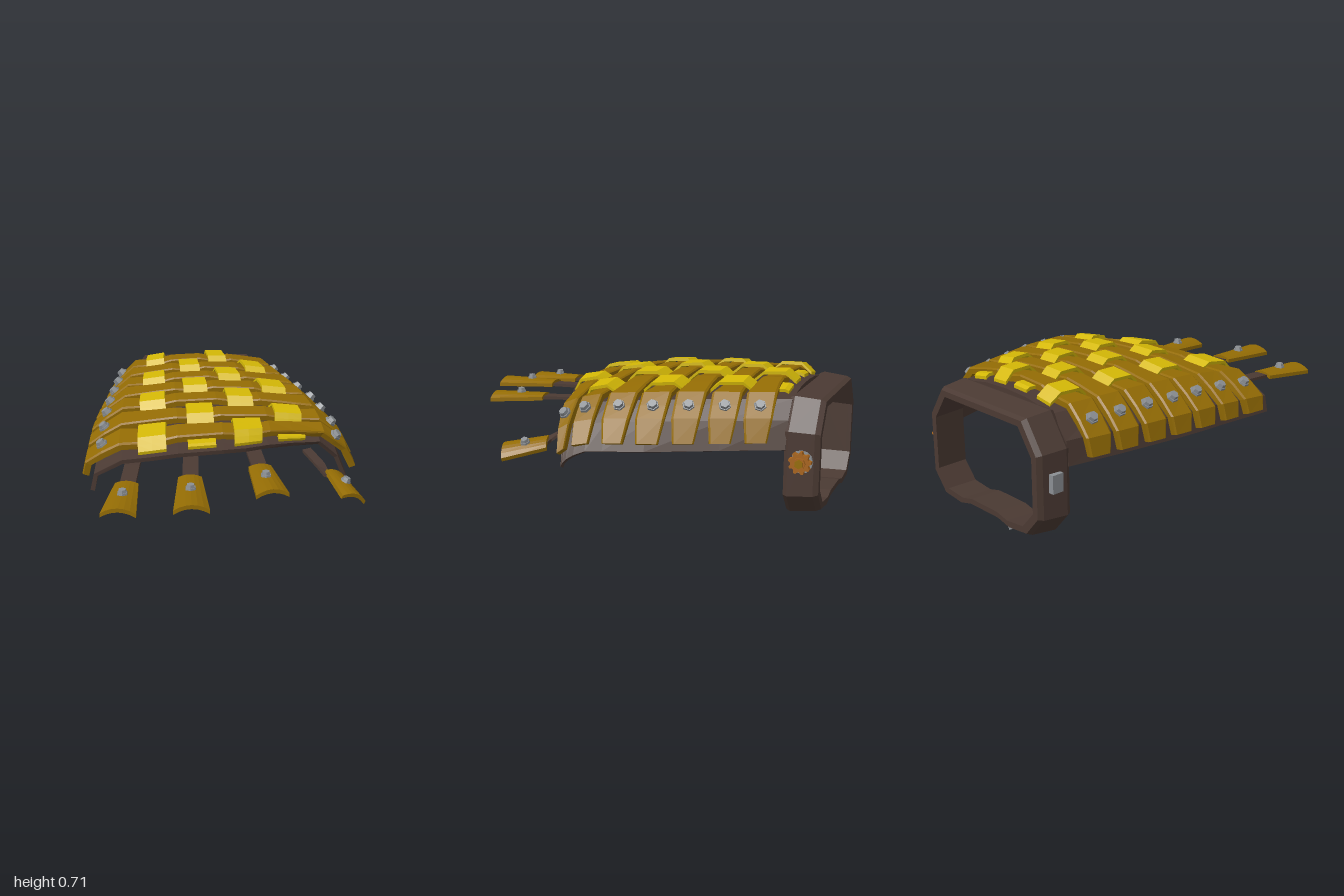
import * as THREE from 'three';

const mat = (name, color) => Object.assign(new THREE.MeshStandardMaterial({ color }), { name });
const V = (x, y, z) => new THREE.Vector3(x, y, z);

// piecewise linear lookup
function lerpTable(t, x) {
  if (x <= t[0][0]) return t[0][1];
  for (let i = 1; i < t.length; i++) {
    if (x <= t[i][0]) {
      const k = (x - t[i - 1][0]) / (t[i][0] - t[i - 1][0]);
      return t[i - 1][1] + k * (t[i][1] - t[i - 1][1]);
    }
  }
  return t[t.length - 1][1];
}

// outline of the arched hand guard: f runs left edge to right edge, z from wrist to knuckles
const EDGE_L = [[-0.83, -0.56], [-0.7, -0.585], [-0.2, -0.645], [0, -0.66], [0.46, -0.67]];
const EDGE_R = [[-0.83, 0.32], [-0.54, 0.43], [-0.21, 0.557], [0.11, 0.635], [0.46, 0.66]];
const TOP = [[-0.83, 0.645], [-0.3, 0.635], [0, 0.615], [0.25, 0.575], [0.46, 0.54]];
const BOT_L = [[-0.83, 0.38], [0.1, 0.365], [0.46, 0.35]];
const BOT_R = [[-0.83, 0.38], [0.1, 0.355], [0.46, 0.27]];
const ARCH = [[0, 0], [0.015, 0.45], [0.12, 0.85], [0.33, 0.97], [0.5, 1], [0.67, 0.98], [0.88, 0.87], [0.955, 0.52], [1, 0]];
const FRONT = [[0, 0.46], [0.17, 0.47], [0.4, 0.44], [0.55, 0.42], [0.66, 0.36], [0.8, 0.28], [1, 0.2]];

function base(f, z) {
  const xl = lerpTable(EDGE_L, z), xr = lerpTable(EDGE_R, z);
  const yb = THREE.MathUtils.lerp(lerpTable(BOT_L, z), lerpTable(BOT_R, z), f);
  const y = yb + (lerpTable(TOP, z) - yb) * lerpTable(ARCH, f);
  const bend = z > 0 ? (lerpTable(FRONT, f) - 0.46) * Math.pow(z / 0.46, 1.75) : 0;
  return V(xl + (xr - xl) * f, y, z + bend);
}
function normalAt(f, z) {
  const du = base(Math.min(1, f + 0.02), z).sub(base(Math.max(0, f - 0.02), z));
  const dv = base(f, Math.min(0.45, z + 0.02)).sub(base(f, Math.min(0.41, z - 0.02)));
  return dv.cross(du).normalize();
}
const guard = (f, z, d) => base(f, z).addScaledVector(normalAt(f, z), d);

// closed flat-shaded slab between an upper and a lower surface
function slab(us, vs, top, bottom) {
  const T = us.map(u => vs.map(v => top(u, v))), B = us.map(u => vs.map(v => bottom(u, v)));
  const pos = [];
  const quad = (a, b, c, d) => [a, b, c, a, c, d].forEach(p => pos.push(p.x, p.y, p.z));
  const m = us.length - 1, n = vs.length - 1;
  for (let i = 0; i < m; i++) {
    for (let j = 0; j < n; j++) {
      quad(T[i][j], T[i][j + 1], T[i + 1][j + 1], T[i + 1][j]);
      quad(B[i][j], B[i + 1][j], B[i + 1][j + 1], B[i][j + 1]);
    }
    quad(T[i][0], T[i + 1][0], B[i + 1][0], B[i][0]);
    quad(T[i + 1][n], T[i][n], B[i][n], B[i + 1][n]);
  }
  for (let j = 0; j < n; j++) {
    quad(T[0][j + 1], T[0][j], B[0][j], B[0][j + 1]);
    quad(T[m][j], T[m][j + 1], B[m][j + 1], B[m][j]);
  }
  const g = new THREE.BufferGeometry();
  g.setAttribute('position', new THREE.Float32BufferAttribute(pos, 3));
  g.computeVertexNormals();
  return g;
}
const steps = (a, b, n) => Array.from({ length: n + 1 }, (_, i) => a + (b - a) * i / n);

export function createModel() {
  const leather = mat('dark leather', 0x4b3a33);
  const gold = mat('dull gold', 0x946c04);
  const yellow = mat('yellow strap', 0xd4b806);
  const steel = mat('steel', 0x8b8f93);
  const copper = mat('copper', 0xa8641c);

  const model = new THREE.Group();
  const add = (name, geo, material, parent = model) => {
    const mesh = new THREE.Mesh(geo, material);
    mesh.name = name;
    parent.add(mesh);
    return mesh;
  };

  // hex bolt on a washer, pointing along n
  const washerGeo = new THREE.CylinderGeometry(0.03, 0.032, 0.012, 6).toNonIndexed();
  const headGeo = new THREE.CylinderGeometry(0.022, 0.026, 0.02, 6).toNonIndexed();
  [washerGeo, headGeo].forEach(g => g.computeVertexNormals());
  function bolt(p, n, scale = 1) {
    const g = new THREE.Group();
    g.name = 'bolt';
    add('boltWasher', washerGeo, steel, g).position.y = 0.004;
    add('boltHead', headGeo, steel, g).position.y = 0.017;
    g.position.copy(p);
    g.quaternion.setFromUnitVectors(V(0, 1, 0), n);
    g.scale.setScalar(scale);
    model.add(g);
  }

  // arched leather shell
  const shellF = [0, 0.015, 0.12, 0.235, 0.33, 0.415, 0.5, 0.585, 0.67, 0.765, 0.88, 0.955, 1];
  add('handGuardShell', slab(shellF, [-0.84, -0.54, -0.2, 0, 0.1, 0.2, 0.3, 0.38, 0.46],
    (f, z) => guard(f, z, 0), (f, z) => guard(f, z, -0.022)), leather);

  // crosswise bands with bolts at both ends, woven under the short straps
  const rows = [-0.7, -0.54, -0.375, -0.215, -0.055, 0.12, 0.305];
  const columns = [0.235, 0.42, 0.595, 0.765];
  const halfWidth = [[0, 0.045], [0.015, 0.062], [0.12, 0.066], [0.25, 0.055], [0.5, 0.049], [0.75, 0.055], [0.88, 0.066], [0.955, 0.062], [1, 0.042]];
  const lift = [[0, 0.058], [0.12, 0.05], [0.25, 0.047], [0.75, 0.047], [0.88, 0.05], [0.955, 0.06], [1, 0.066]];
  const bandF = [0.004, 0.015, 0.06, 0.12, 0.235, 0.33, 0.42, 0.5, 0.595, 0.68, 0.765, 0.88, 0.92, 0.955, 0.99];
  rows.forEach((z, r) => {
    const over = f => columns.some((c, i) => i % 2 === r % 2 && Math.abs(c - f) < 0.01);
    const wide = r === 6 ? 1.25 : 1.05;
    const at = (f, v, d) => guard(f, z + v * wide * lerpTable(halfWidth, f),
      lerpTable(lift, f) + d - (over(f) ? 0.014 : 0));
    add('crossBand', slab(bandF, [-1, -0.85, 0.85, 1],
      (f, v) => at(f, v, Math.abs(v) > 0.9 ? -0.007 : 0), (f, v) => at(f, v, -0.036)), gold);
    for (const f of [0.06, 0.92]) bolt(at(f, 0, 0), normalAt(f, z));
  });

  // short yellow straps arching over the bands in a checkerboard
  const strap = (c, z0, z1, low, high) => {
    const at = (u, v, d) => guard(c + u, z0 + (z1 - z0) * v, low + (high - low) * Math.min(1, 4 * v, 4 * (1 - v)) + d);
    add('wovenStrap', slab([-0.053, 0, 0.053], [0, 0.12, 0.25, 0.5, 0.75, 0.88, 1],
      (u, v) => at(u, v, 0), (u, v) => at(u, v, -0.016)), yellow);
  };
  rows.forEach((z, r) => columns.forEach((c, i) => {
    const h = r === 6 ? 0.125 : 0.108;
    if (i % 2 === r % 2) strap(c, z - h, z + h, 0.018, 0.065);
  }));
  for (const i of [1, 3]) {
    strap(columns[i], -0.81, -0.73, 0.02, 0.03);
    strap(columns[i], 0.36, 0.435, 0.02, 0.026);
  }

  // wrist cuff ring, narrowing towards the rear with chamfered rims
  const ringPts = [[-0.56, 0.145], [-0.56, 0.47], [-0.455, 0.625], [0.205, 0.625], [0.31, 0.47], [0.31, 0.145], [0.22, 0.04],
    [0.08, 0.025], [-0.01, 0.047], [-0.24, 0.047], [-0.33, 0.025], [-0.47, 0.04], [-0.56, 0.145]];
  const ringAt = (i, z, sx, sy) => V(-0.125 + (ringPts[i][0] + 0.125) * sx, 0.325 + (ringPts[i][1] - 0.325) * sy, z);
  const outerScale = [[-1, 0.925], [-0.975, 0.96], [-0.85, 1], [-0.83, 0.98]];
  const innerScale = [[-1, 0.85], [-0.83, 0.88]];
  add('wristCuff', slab(ringPts.map((_, i) => i), outerScale.map(p => p[0]),
    (i, z) => ringAt(i, z, lerpTable(outerScale, z), lerpTable(outerScale, z)),
    (i, z) => ringAt(i, z, lerpTable(innerScale, z), lerpTable(innerScale, z) - 0.025)), leather);

  // adjusting gear on the cuff's left side
  const teeth = new THREE.Shape();
  for (let i = 0; i < 36; i++) {
    const a = i / 36 * Math.PI * 2, rad = i % 4 < 2 ? 0.057 : 0.045;
    teeth[i ? 'lineTo' : 'moveTo'](Math.cos(a) * rad, Math.sin(a) * rad);
  }
  const gear = new THREE.Group();
  gear.name = 'cuffGear';
  gear.position.set(0.293, 0.325, -0.915);
  gear.rotation.y = Math.PI / 2;
  model.add(gear);
  const disc = (name, r, len, z, m, sides) => {
    const g = new THREE.CylinderGeometry(r, r, len, sides).rotateX(Math.PI / 2).toNonIndexed();
    g.computeVertexNormals();
    add(name, g, m, gear).position.z = z;
  };
  disc('gearWasher', 0.058, 0.016, 0.006, steel, 12);
  add('gearWheel', new THREE.ExtrudeGeometry(teeth, { depth: 0.028, bevelEnabled: false }), copper, gear).position.z = 0.014;
  disc('gearHub', 0.03, 0.016, 0.046, copper, 8);
  disc('gearNut', 0.022, 0.022, 0.053, gold, 6);

  // steel buckles on the side and underside of the cuff
  add('sideBuckle', new THREE.BoxGeometry(0.03, 0.09, 0.06), steel).position.set(-0.56, 0.325, -0.915);
  const lower = add('lowerBuckle', new THREE.BoxGeometry(0.07, 0.03, 0.09), steel);
  lower.position.set(-0.285, 0.032, -0.915);
  lower.rotation.z = -0.55;

  // finger plates: near and far centres, half widths, sideways roll, leather path
  const fingers = [
    { a: [-0.475, 0.487, 0.66], b: [-0.5, 0.482, 0.95], w: [0.056, 0.082], roll: 0, path: [[-0.45, 0.475, 0.3], [-0.46, 0.48, 0.46], [-0.473, 0.472, 0.7]] },
    { a: [-0.175, 0.515, 0.66], b: [-0.17, 0.513, 0.99], w: [0.056, 0.082], roll: 0, path: [[-0.17, 0.515, 0.3], [-0.17, 0.505, 0.44], [-0.174, 0.498, 0.7]] },
    { a: [0.165, 0.516, 0.545], b: [0.205, 0.512, 0.835], w: [0.056, 0.078], roll: 0, path: [[0.14, 0.525, 0.26], [0.15, 0.51, 0.38], [0.168, 0.5, 0.58]] },
    { a: [0.575, 0.378, 0.32], b: [0.65, 0.34, 0.535], w: [0.052, 0.07], roll: -0.4, path: [[0.44, 0.44, 0.18], [0.5, 0.4, 0.29], [0.525, 0.372, 0.335], [0.585, 0.358, 0.345]] }
  ];
  for (const { a, b, w, roll, path } of fingers) {
    const A = V(...a), B = V(...b), dir = B.clone().sub(A).normalize();
    const side = V(dir.z, roll, -dir.x).normalize(), up = dir.clone().cross(side).normalize();
    const at = (u, v, d) => A.clone().lerp(B, v)
      .addScaledVector(side, u * THREE.MathUtils.lerp(w[0], w[1], v))
      .addScaledVector(up, d - 0.026 * u * u * (0.5 + 0.5 * v));
    add('fingerPlate', slab(steps(-1, 1, 6), [0, 0.5, 1], (u, v) => at(u, v, 0), (u, v) => at(u, v, -0.02)), gold);
    bolt(at(0, 0.48, 0), up, 0.85);
    // leather strip joining the plate to the shell
    const pts = path.map(p => V(...p)), last = pts.length - 1;
    const strip = (u, i, d) => {
      const t = pts[Math.min(last, i + 1)].clone().sub(pts[Math.max(0, i - 1)]);
      const s = V(t.z, 0, -t.x).normalize();
      return pts[i].clone().addScaledVector(s, u * (roll ? 0.026 : 0.038)).add(V(0, d, 0));
    };
    add('fingerStrip', slab([-1, 1], pts.map((_, i) => i), (u, i) => strip(u, i, 0), (u, i) => strip(u, i, -0.016)), leather);
  }
  return model;
}
